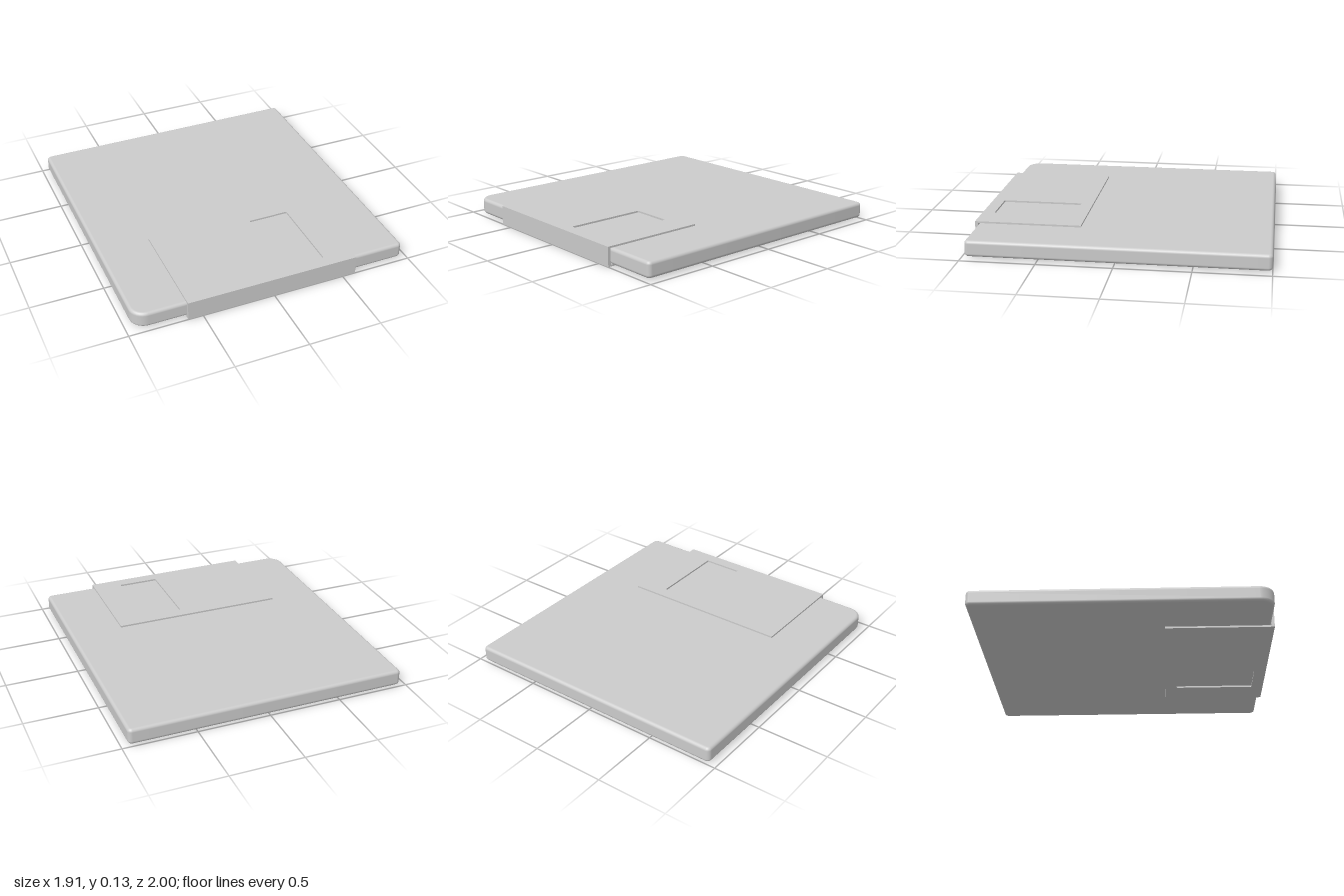
import * as THREE from 'three';

const material = new THREE.MeshStandardMaterial({ color: 0xcccccc });

// Rounded rectangle in (x, z); radii run back-left, back-right, front-right, front-left as seen from the +x/-z corner
function roundedRect(target, x0, x1, z0, z1, radii, segments) {
  const [a, b, c, d] = radii;
  const arc = (cx, cz, r, start) => {
    for (let i = 0; i <= segments; i++) {
      const t = start + (i / segments) * Math.PI / 2;
      const x = cx + r * Math.cos(t), z = cz + r * Math.sin(t);
      if (start === 0 && i === 0) target.moveTo(x, z);
      else target.lineTo(x, z);
    }
  };
  arc(x1 - a, z1 - a, a, 0);
  arc(x0 + b, z1 - b, b, Math.PI / 2);
  arc(x0 + c, z0 + c, c, Math.PI);
  arc(x1 - d, z0 + d, d, Math.PI * 1.5);
  return target;
}

function addMesh(group, name, geometry, y = 0) {
  const mesh = new THREE.Mesh(geometry, material);
  mesh.name = name;
  mesh.position.y = y;
  group.add(mesh);
}

// Flat case with soft edges and one larger corner at front right
function caseGeometry() {
  const x0 = -0.956, x1 = 0.956, z0 = -1, z1 = 0.977;
  const height = 0.109, bevel = 0.022, small = 0.03, large = 0.1;
  const inner = [small, large, small, small].map(r => r - bevel);
  const shape = roundedRect(new THREE.Shape(),
    x0 + bevel, x1 - bevel, z0 + bevel, z1 - bevel, inner, 8);
  const geometry = new THREE.ExtrudeGeometry(shape, {
    depth: height - 2 * bevel, bevelThickness: bevel, bevelSize: bevel, bevelSegments: 5
  });
  geometry.translate(0, 0, bevel - height / 2);
  geometry.rotateX(Math.PI / 2);

  // Smooth normals: flat on the faces, turning only around the rounded edges
  const p = geometry.attributes.position, n = geometry.attributes.normal;
  const cz = (z0 + z1) / 2, hx = (x1 - x0) / 2, hz = (z1 - z0) / 2;
  const v = new THREE.Vector3();
  for (let i = 0; i < p.count; i++) {
    const x = p.getX(i), y = p.getY(i), z = p.getZ(i) - cz;
    const r = x < 0 && z > 0 ? large : small;
    const qx = Math.max(Math.abs(x) - hx + r, 0) * Math.sign(x);
    const qz = Math.max(Math.abs(z) - hz + r, 0) * Math.sign(z);
    const up = THREE.MathUtils.clamp((Math.abs(y) - height / 2 + bevel) / bevel, 0, 1);
    v.set(qx, 0, qz).normalize().multiplyScalar(Math.sqrt(1 - up * up));
    v.y = up * Math.sign(y);
    v.normalize();
    n.setXYZ(i, v.x, v.y, v.z);
  }
  return geometry;
}

export function createModel() {
  const group = new THREE.Group();
  const total = 0.133, sheet = 0.012;
  addMesh(group, 'diskCase', caseGeometry(), total / 2);

  // Sliding shutter: two windowed plates joined by a front wall
  const shutter = new THREE.Group();
  shutter.name = 'shutter';
  group.add(shutter);
  const x0 = -0.602, x1 = 0.594, z0 = 0.276, z1 = 1, wall = 0.02;
  const outline = new THREE.Shape([
    new THREE.Vector2(x0, z0), new THREE.Vector2(x1, z0),
    new THREE.Vector2(x1, z1), new THREE.Vector2(x0, z1)
  ]);
  outline.holes.push(roundedRect(new THREE.Path(),
    0.11, 0.392, 0.36, 0.917, [0.008, 0.008, 0.008, 0.008], 3));
  const plate = new THREE.ExtrudeGeometry(outline, { depth: sheet, bevelEnabled: false });
  plate.rotateX(Math.PI / 2);
  addMesh(shutter, 'topPlate', plate, total);
  addMesh(shutter, 'bottomPlate', plate, sheet);

  const front = new THREE.BoxGeometry(x1 - x0, total - 2 * sheet, wall);
  front.translate((x0 + x1) / 2, 0, z1 - wall / 2);
  addMesh(shutter, 'frontWall', front, total / 2);
  return group;
}
